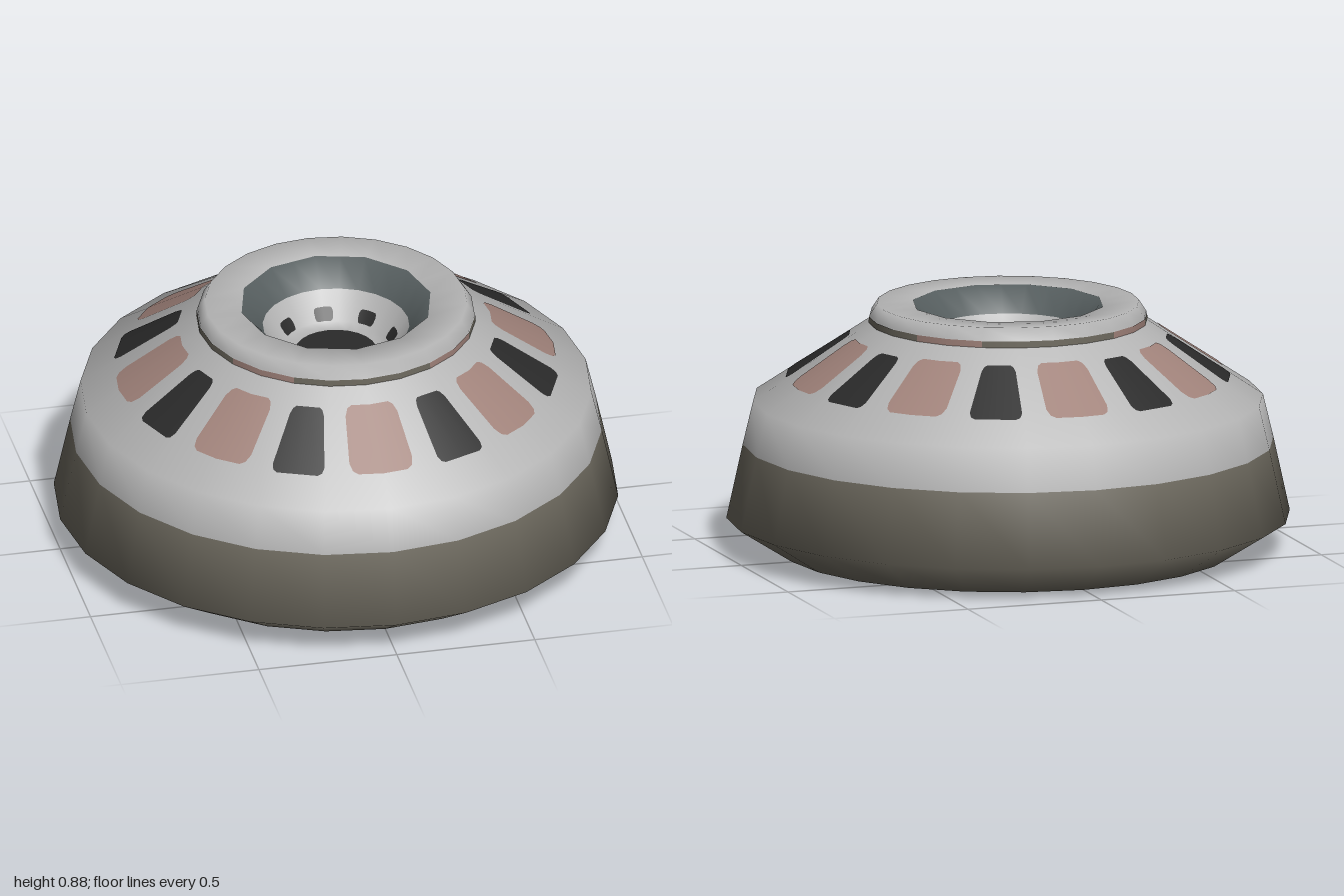
import * as THREE from 'three';

const SIDES = 24, STEP = (Math.PI * 2) / SIDES;

function mat(name, color) {
  const m = new THREE.MeshStandardMaterial({ color });
  m.name = name;
  return m;
}

// Radius factor that keeps a point on the flat facets of the 24-sided body
function facet(angle) {
  const a = ((angle % STEP) + STEP) % STEP;
  return Math.cos(STEP / 2) / Math.cos(a - STEP / 2);
}

// Thin plate with rounded corners, lying on the cone through (r0, y0) and (r1, y1)
function plate(angle, cone, rIn, rOut, halfIn, halfOut, lift, corner) {
  const [r0, y0, r1, y1] = cone;
  const slope = (y1 - y0) / (r1 - r0), len = Math.hypot(slope, 1);
  const nr = -slope / len, ny = 1 / len;
  const pos = [], nor = [], idx = [];
  const side = [[1, corner], [0.91, corner * 0.3], [0.75, 0]];
  const columns = [...side.map(([u, c]) => [-u, c]), [0, 0], ...side.reverse()];
  columns.forEach(([u, inset], i) => {
    [inset, 1 - inset].forEach((t) => {
      const r = rIn + (rOut - rIn) * t;
      const half = (halfIn + (halfOut - halfIn) * t) / r;
      const a = angle + u * half;
      const R = r * facet(a) + nr * lift;
      pos.push(R * Math.sin(a), y0 + (r - r0) * slope + ny * lift, R * Math.cos(a));
      nor.push(nr * Math.sin(a), ny, nr * Math.cos(a));
    });
    if (i) {
      const k = 2 * (i - 1);
      idx.push(k, k + 1, k + 3, k, k + 3, k + 2);
    }
  });
  const g = new THREE.BufferGeometry();
  g.setAttribute('position', new THREE.Float32BufferAttribute(pos, 3));
  g.setAttribute('normal', new THREE.Float32BufferAttribute(nor, 3));
  g.setIndex(idx);
  return g;
}

export function createModel() {
  const light = mat('light grey', 0xb4b4b4);
  const brown = mat('grey brown', 0x6f6b60);
  const dark = mat('charcoal', 0x2a2a2a);
  const red = mat('dusty red', 0xa0827a);
  const slate = mat('slate', 0x555d5e);
  const model = new THREE.Group();
  model.name = 'roundHousing';

  const add = (name, geometry, material) => {
    const m = new THREE.Mesh(geometry, material);
    m.name = name;
    model.add(m);
  };

  // Closed profile from the hollow underside, round the outside, into the top funnel.
  // Third value: colour of the span that starts at the point (index into palette).
  const palette = [light, brown, dark, slate];
  const profile = [
    [0, 0.365, 2], [0.22, 0.36, 1], [0.245, 0.35, 0], [0.63, 0, 0],
    [0.81, 0, 1], [1, 0.12, 1], [0.942, 0.385, 0], [0.905, 0.54, 0],
    [0.493, 0.815, 0], [0.491, 0.845, 0], [0.465, 0.885, 0], [0.342, 0.88, 3],
    [0.26, 0.79, 0], [0.19, 0.697, 0], [0.145, 0.687, 2], [0, 0.685, 0],
  ];
  const body = new THREE.LatheGeometry(profile.map(([r, y]) => new THREE.Vector2(r, y)), SIDES);

  // The mouth of the funnel has half as many sides
  const p = body.attributes.position, rows = profile.length, mouth = 11;
  for (let i = 1; i < SIDES; i += 2) {
    const k = i * rows + mouth, s = Math.cos(STEP);
    p.setXYZ(k, p.getX(k) * s, p.getY(k), p.getZ(k) * s);
  }

  // Regroup the faces by colour
  const old = body.index.array, spans = rows - 1, index = [];
  palette.forEach((_, c) => {
    const start = index.length;
    for (let i = 0; i < SIDES; i++)
      for (let j = 0; j < spans; j++)
        if (profile[j][2] === c) {
          const o = (i * spans + j) * 6;
          index.push(...old.slice(o, o + 6));
        }
    body.addGroup(start, index.length - start, c);
  });
  body.setIndex(index);
  add('body', body, palette);

  // Sixteen alternating panels round the shoulder
  const shoulder = [0.493, 0.815, 0.905, 0.54];
  for (let i = 0; i < 16; i++) {
    const a = (i * Math.PI) / 8;
    if (i % 2) add('darkPanel', plate(a, shoulder, 0.565, 0.79, 0.056, 0.098, 0.002, 0.12), dark);
    else add('redPanel', plate(a, shoulder, 0.557, 0.787, 0.09, 0.12, 0.002, 0.16), red);
  }

  // Small oval slots in the funnel
  const funnel = [0.19, 0.697, 0.26, 0.79];
  for (let i = 0; i < 8; i++)
    add('slot', plate((i * Math.PI) / 4, funnel, 0.191, 0.222, 0.032, 0.036, 0.002, 0.3), dark);

  // Thin coloured band at the foot of the collar
  const band = [new THREE.Vector2(0.4945, 0.818), new THREE.Vector2(0.494, 0.841)];
  for (let i = 0; i < 4; i++) {
    const a = (i * Math.PI) / 2;
    add('brownBand', new THREE.LatheGeometry(band, 4, a - 2 * STEP, 4 * STEP), brown);
    add('redBand', new THREE.LatheGeometry(band, 2, a + 2 * STEP, 2 * STEP), red);
  }
  return model;
}
